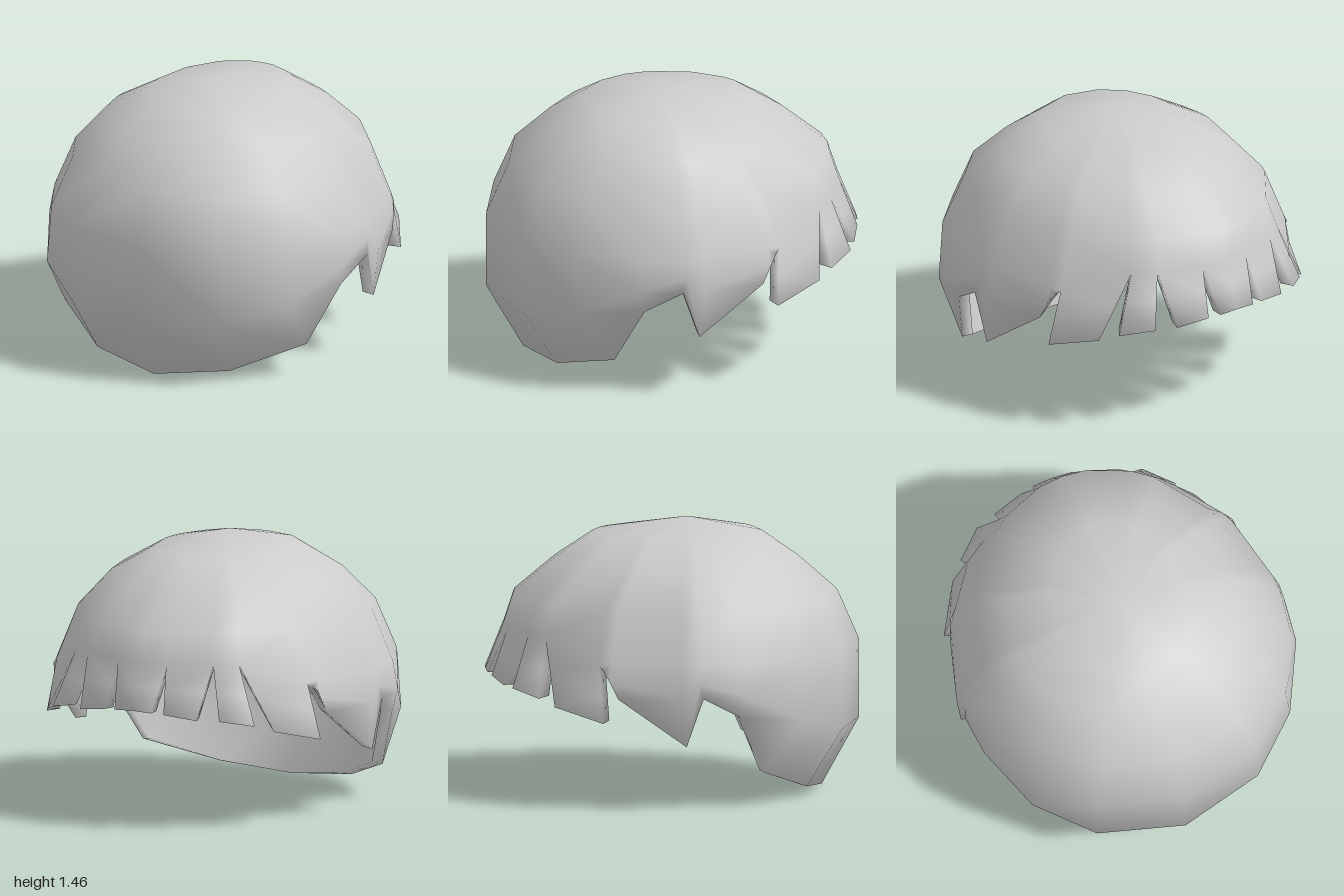
import * as THREE from 'three';
import { mergeVertices } from 'three/addons/utils/BufferGeometryUtils.js';

const AXIS_Z = 0.08;

// Dome rings: height, half width, front z, back z
const RINGS = [
  [1.455, 0, 0.08, 0.08],
  [1.375, 0.37, 0.48, -0.43],
  [1.24, 0.61, 0.67, -0.63],
  [1.055, 0.775, 0.88, -0.85],
  [0.78, 0.89, 1.0, -0.94],
  [0.61, 0.925, 1.0, -0.99],
  [0.36, 0.92, 1.0, -1.0],
];

// Point on the dome at an angle from the front and at a height
function domePoint(degrees, y) {
  let i = 0;
  while (i < RINGS.length - 2 && RINGS[i + 1][0] > y) i++;
  const [p, q] = [RINGS[i], RINGS[i + 1]];
  const t = (y - p[0]) / (q[0] - p[0]);
  const [w, f, b] = [1, 2, 3].map((k) => p[k] + (q[k] - p[k]) * t);
  const a = THREE.MathUtils.degToRad(degrees);
  const c = Math.cos(a);
  const depth = c > 0 ? f - AXIS_Z : AXIS_Z - b;
  return new THREE.Vector3(w * Math.sin(a), y, AXIS_Z + depth * c);
}

// Half the rim, front to back, split at the slits between locks.
// Column: angle, height where the lock starts, rim point, optional height of the bulge above the rim
const LOCKS = [
  [
    [0, 0.78, [0, 0, 0.8], 0.36],
    [30, 0.78, [0.4, 0.05, 0.69], 0.37],
    [53, 0.78, [0.73, 0.18, 0.44], 0.46],
    [75, 0.78, [0.865, 0.5, 0.3], 0.62],
    [90, 0.78, [0.915, 0.61, 0.1], 0.69],
    [95, 0.78, [0.905, 0.35, 0.01], 0.61],
    [117, 0.78, [0.83, 0.6, -0.35], 0.69],
    [121, 0.77, [0.805, 0.73, -0.41]],
  ],
  [[121, 0.77, [0.835, 0.47, -0.43]], [144, 0.89, [0.69, 0.54, -0.68]]],
  [[144, 0.89, [0.615, 0.575, -0.76]], [153, 0.89, [0.47, 0.61, -0.89]]],
  [[153, 0.89, [0.355, 0.61, -0.93]], [170, 0.89, [0.18, 0.635, -0.98]]],
  [[170, 0.89, [0.11, 0.64, -0.995]], [180, 0.89, [0, 0.645, -1]]],
];

function columnPoints([angle, start, rim, bulge]) {
  const pts = RINGS.slice(0, 4).map((r) => domePoint(angle, r[0]));
  const top = domePoint(angle, start);
  const tip = new THREE.Vector3(...rim);
  const mid = bulge === undefined ? top.clone().lerp(tip, 0.5) : domePoint(angle, bulge);
  return [...pts, top, mid, tip];
}

// Matching point on the inside of the shell
function inset(p) {
  const s = 0.93;
  const y = p.y > 0.6 ? 0.6 + (p.y - 0.6) * s : p.y + 0.01;
  return new THREE.Vector3(p.x * s, y, AXIS_Z + (p.z - AXIS_Z) * s);
}

function shellGeometry() {
  const positions = [];
  const tri = (a, b, c) => {
    if (a.equals(b) || b.equals(c) || a.equals(c)) return;
    for (const p of [a, b, c]) positions.push(p.x, p.y, p.z);
    for (const p of [a, c, b]) positions.push(-p.x, p.y, p.z); // mirrored side
  };
  const quad = (a, b, c, d) => { tri(a, b, c); tri(a, c, d); };

  LOCKS.forEach((lock, n) => {
    const outer = lock.map(columnPoints);
    const inner = outer.map((col) => col.map(inset));
    const last = outer.length - 1;
    const rim = outer[0].length - 1;
    for (let c = 0; c < last; c++) {
      const [A, B, a, b] = [outer[c], outer[c + 1], inner[c], inner[c + 1]];
      for (let r = 0; r < rim; r++) {
        quad(A[r], A[r + 1], B[r + 1], B[r]);
        quad(a[r], b[r], b[r + 1], a[r + 1]);
      }
      quad(B[rim], A[rim], a[rim], b[rim]); // rim thickness
    }
    // Slit walls
    for (let r = 4; r < rim; r++) {
      const [A, a, B, b] = [outer[0], inner[0], outer[last], inner[last]];
      if (n > 0) quad(A[r + 1], A[r], a[r], a[r + 1]);
      if (n < LOCKS.length - 1) quad(B[r], B[r + 1], b[r + 1], b[r]);
    }
  });

  let geometry = new THREE.BufferGeometry();
  geometry.setAttribute('position', new THREE.Float32BufferAttribute(positions, 3));
  geometry = mergeVertices(geometry, 1e-4);
  geometry.computeVertexNormals();
  return geometry;
}

export function createModel() {
  const group = new THREE.Group();
  group.name = 'hairCap';
  const hair = new THREE.Mesh(shellGeometry(), new THREE.MeshStandardMaterial({ color: 0xcccccc }));
  hair.name = 'hairShell';
  group.add(hair);
  return group;
}
